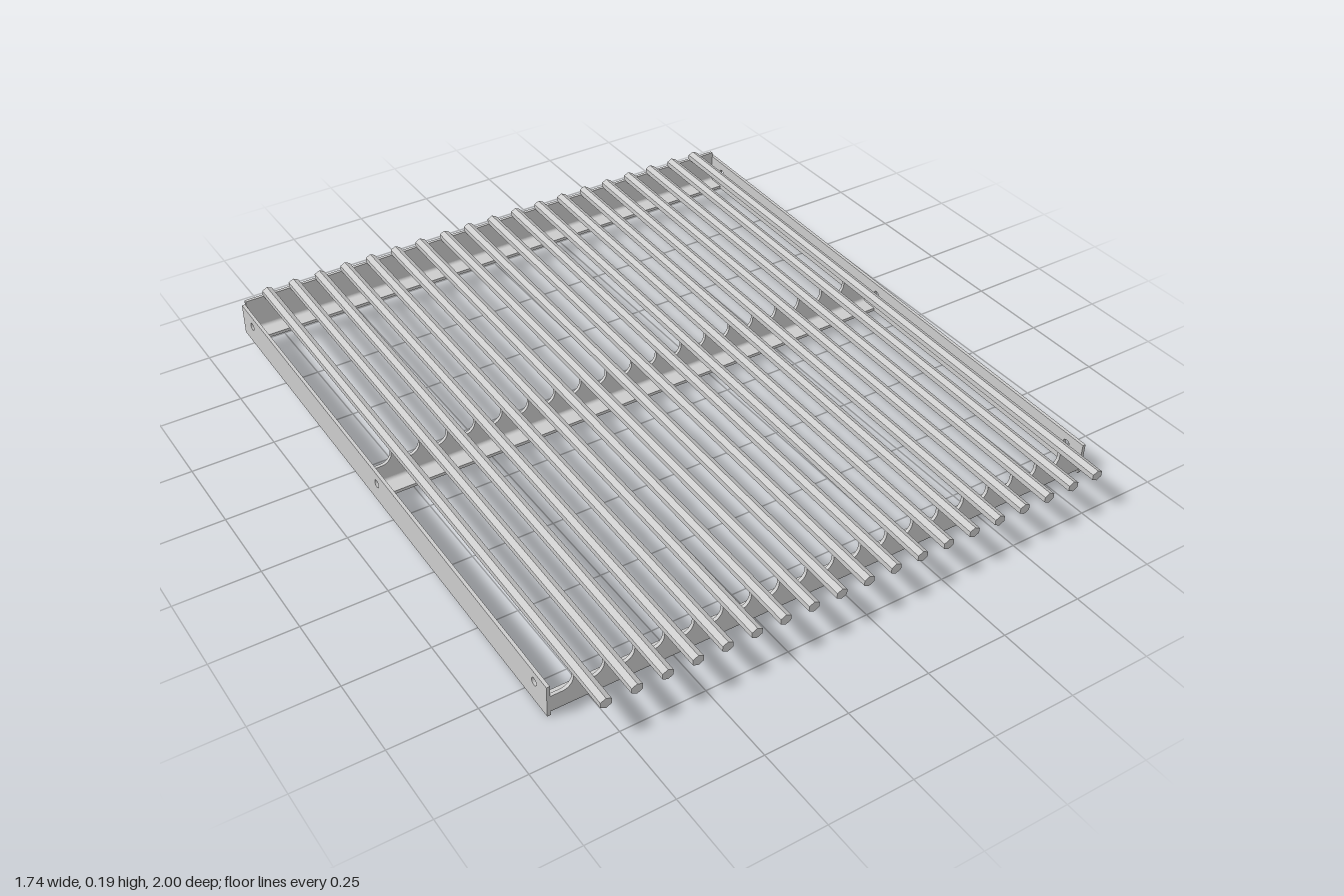
import * as THREE from 'three';

const BARS = 19, PITCH = 0.0873, HALF = 0.862, SHEET = 0.01;

export function createModel() {
  const steel = new THREE.MeshStandardMaterial({ color: 0xcccccc });
  steel.name = 'brushed steel';
  const model = new THREE.Group();
  model.name = 'sloped grate';
  const tilt = new THREE.Group();
  tilt.name = 'grate';
  tilt.rotation.x = 0.0258; // front edge lower than the back
  tilt.position.set(0, 0.0223, -0.003);
  model.add(tilt);

  const add = (parent, name, geometry, x = 0, y = 0, z = 0) => {
    const mesh = new THREE.Mesh(geometry, steel);
    mesh.name = name;
    mesh.position.set(x, y, z);
    parent.add(mesh);
    return mesh;
  };
  const extrude = (shape, depth) =>
    new THREE.ExtrudeGeometry(shape, { depth, bevelEnabled: false, curveSegments: 10 });
  const barX = i => (i - (BARS - 1) / 2) * PITCH;

  // Long hexagonal bars with a ridge along the top
  const barGeo = new THREE.CylinderGeometry(0.0165, 0.0165, 2, 6).toNonIndexed();
  barGeo.rotateX(Math.PI / 2);
  barGeo.scale(1.12, 1, 1);
  barGeo.computeVertexNormals();
  for (let i = 0; i < BARS; i++) add(tilt, 'bar', barGeo, barX(i), 0.1205, 0);

  // Side plates with three round holes
  const side = new THREE.Shape();
  side.moveTo(-0.867, 0);
  side.lineTo(1, 0);
  side.lineTo(1, 0.1);
  side.lineTo(-0.867, 0.1);
  for (const [z, y] of [[0.805, 0.066], [-0.065, 0.063], [-0.93, 0.062]]) {
    const hole = new THREE.Path();
    hole.absarc(-z, y, 0.012, 0, Math.PI * 2, true);
    side.holes.push(hole);
  }
  const sideGeo = extrude(side, SHEET);
  sideGeo.rotateY(Math.PI / 2); // shape x becomes -z
  add(tilt, 'rightSidePlate', sideGeo, -HALF - SHEET);
  add(tilt, 'leftSidePlate', sideGeo, HALF);

  // Upright web whose teeth carry the bars, with round scallops between
  const toothed = new THREE.Shape();
  const tooth = 0.011, top = 0.115, low = 0.065;
  const r = PITCH / 2 - tooth, cy = low + r;
  toothed.moveTo(-HALF, 0.02);
  toothed.lineTo(HALF, 0.02);
  toothed.lineTo(HALF, low);
  toothed.absarc(barX(BARS - 1) + PITCH / 2, cy, r, -Math.PI / 2, -Math.PI, true);
  for (let i = BARS - 1; i >= 0; i--) {
    toothed.lineTo(barX(i) + tooth, top);
    toothed.lineTo(barX(i) - tooth, top);
    toothed.absarc(barX(i) - PITCH / 2, cy, r, 0, i ? -Math.PI : -Math.PI / 2, true);
  }
  toothed.lineTo(-HALF, low);
  const toothedGeo = extrude(toothed, SHEET);

  // Plain upright web for the back
  const plainGeo = new THREE.BoxGeometry(HALF * 2, 0.095, SHEET);
  plainGeo.translate(0, 0.0675, SHEET / 2);

  // Bottom flange with a rounded bend; shape x runs toward the flange tip
  const bend = new THREE.Shape();
  bend.moveTo(0, 0.02);
  bend.absarc(0.02, 0.02, 0.02, Math.PI, Math.PI * 1.5, false);
  bend.lineTo(0.065, 0);
  bend.lineTo(0.065, SHEET);
  bend.lineTo(0.02, SHEET);
  bend.absarc(0.02, 0.02, 0.01, Math.PI * 1.5, Math.PI, true);
  const bendGeo = extrude(bend, HALF * 2);
  bendGeo.rotateY(-Math.PI / 2); // shape x becomes z
  bendGeo.translate(HALF, 0, 0);

  // Three cross rails; the front one is turned so its flange points back
  const rails = [
    ['frontRail', 0.867, toothedGeo, true],
    ['middleRail', -0.133, toothedGeo, false],
    ['backRail', -1, plainGeo, false],
  ];
  for (const [name, z, web, turned] of rails) {
    const rail = new THREE.Group();
    rail.name = name;
    rail.position.z = z;
    if (turned) rail.rotation.y = Math.PI;
    add(rail, 'web', web);
    add(rail, 'flange', bendGeo);
    tilt.add(rail);
  }
  return model;
}
